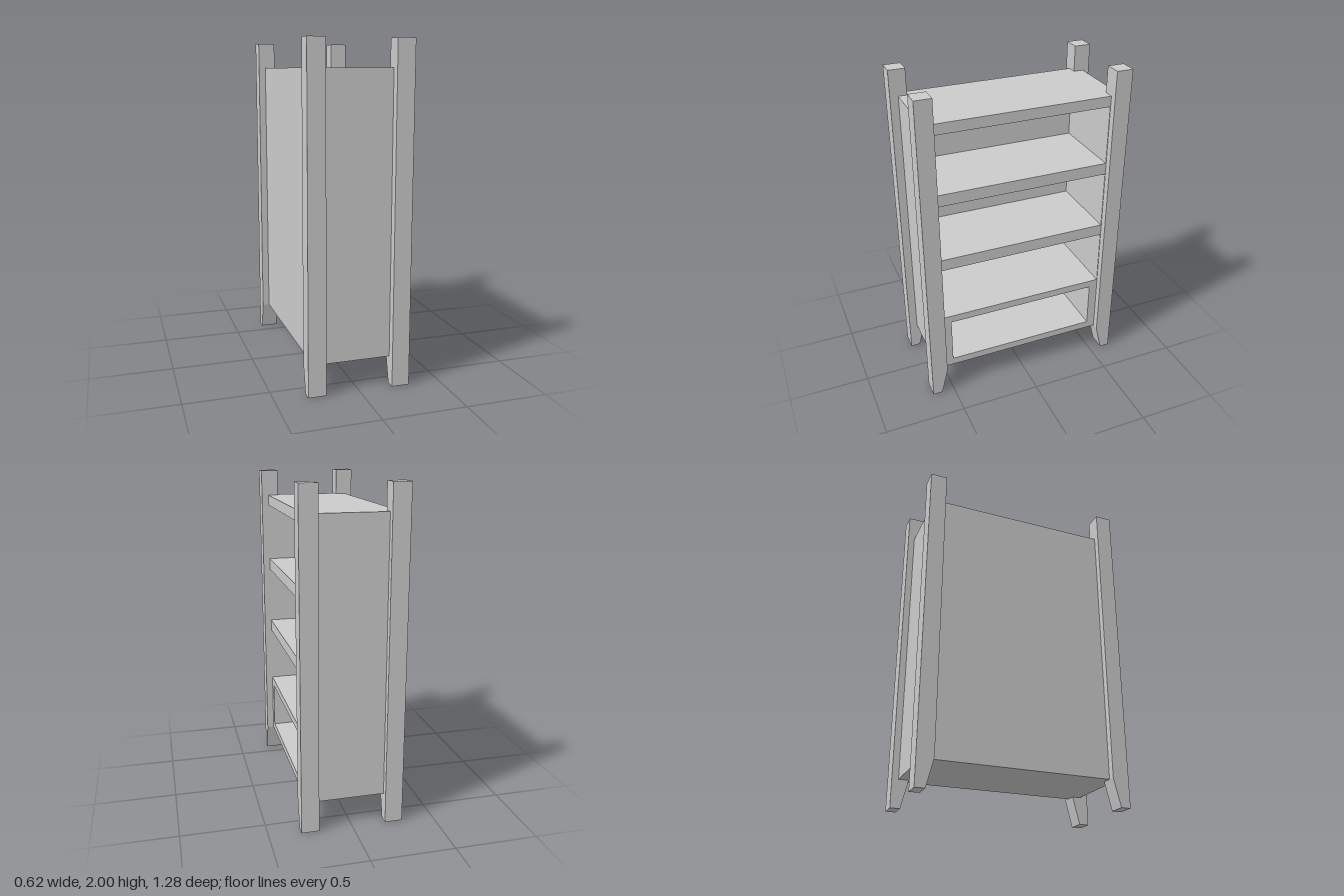
import * as THREE from 'three';

const material = new THREE.MeshStandardMaterial({ color: 0xcccccc, flatShading: true });

export function createModel() {
  const group = new THREE.Group();

  // Box given by its limits on each axis
  function box(name, [x0, x1], [y0, y1], [z0, z1]) {
    const mesh = new THREE.Mesh(new THREE.BoxGeometry(x1 - x0, y1 - y0, z1 - z0), material);
    mesh.position.set((x0 + x1) / 2, (y0 + y1) / 2, (z0 + z1) / 2);
    mesh.name = name;
    group.add(mesh);
  }

  const depth = [-0.265, 0.265];
  const inner = [-0.535, 0.54];

  // Corner posts: square in section, feet tapered on the inner face
  const profile = new THREE.Shape([
    [0.58, 0], [0.64, 0], [0.64, 2], [0.538, 2], [0.538, 0.17],
  ].map(([z, y]) => new THREE.Vector2(z, y)));
  const postGeometry = new THREE.ExtrudeGeometry(profile, { depth: 0.106, bevelEnabled: false });
  postGeometry.translate(0, 0, -0.053);
  for (const x of [-0.255, 0.255]) {
    for (const side of [-1, 1]) {
      const post = new THREE.Mesh(postGeometry, material);
      post.name = 'cornerPost';
      post.rotation.y = -side * Math.PI / 2;
      post.position.x = x;
      group.add(post);
    }
  }

  // Side walls and closed back
  box('sideWall', depth, [0.17, 1.84], [-0.6, inner[0]]);
  box('sideWall', depth, [0.17, 1.84], [inner[1], 0.59]);
  box('backPanel', [-0.265, -0.225], [0.17, 1.84], inner);

  // Top, shelves and floor
  const boards = [
    ['topBoard', 1.775, 1.84], ['shelf', 1.34, 1.413], ['shelf', 0.907, 0.98],
    ['shelf', 0.51, 0.557], ['bottomBoard', 0.17, 0.217],
  ];
  for (const [name, y0, y1] of boards) box(name, [-0.225, 0.265], [y0, y1], inner);

  // Thicker sides of the lowest compartment
  box('compartmentSide', [-0.225, 0.265], [0.217, 0.51], [inner[0], -0.483]);
  box('compartmentSide', [-0.225, 0.265], [0.217, 0.51], [0.483, inner[1]]);

  return group;
}
